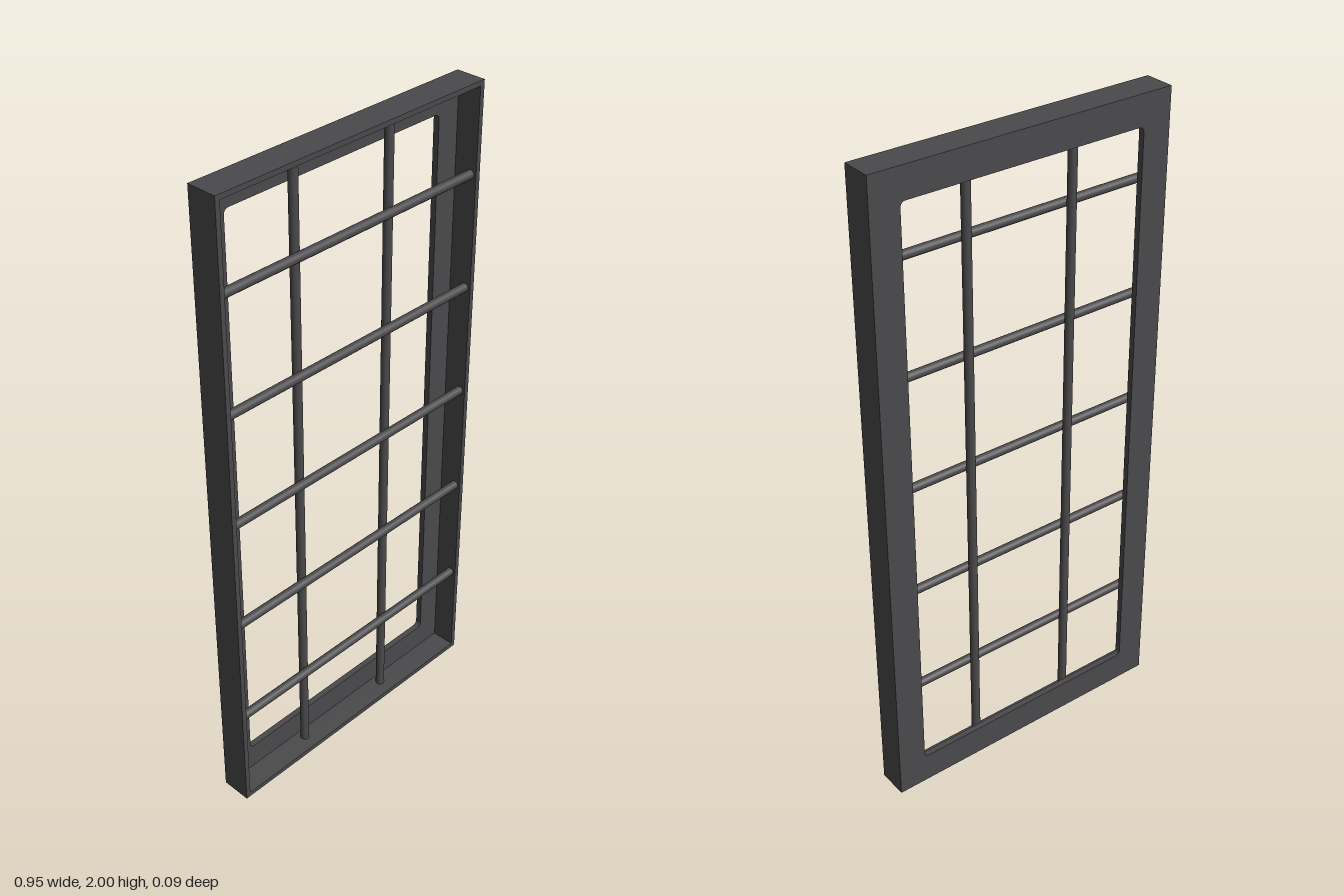
import * as THREE from 'three';

const W = 0.95, H = 2, D = 0.094; // overall size
const WALL = 0.015, PLATE = 0.019; // rim and back plate thickness

// Rectangle outline with optional rounded corners
function rect(path, x0, y0, x1, y1, r = 0) {
  if (r === 0) {
    path.moveTo(x0, y0).lineTo(x1, y0).lineTo(x1, y1).lineTo(x0, y1).closePath();
    return path;
  }
  path.moveTo(x0 + r, y0);
  path.absarc(x1 - r, y0 + r, r, -Math.PI / 2, 0);
  path.absarc(x1 - r, y1 - r, r, 0, Math.PI / 2);
  path.absarc(x0 + r, y1 - r, r, Math.PI / 2, Math.PI);
  path.absarc(x0 + r, y0 + r, r, Math.PI, Math.PI * 1.5);
  path.closePath();
  return path;
}

export function createModel() {
  const model = new THREE.Group();
  model.name = 'barredWindowFrame';
  const darkMetal = new THREE.MeshStandardMaterial({ color: 0x4a4a4c });
  darkMetal.name = 'darkMetal';

  function add(name, geometry, x = 0, y = 0, z = 0) {
    const mesh = new THREE.Mesh(geometry, darkMetal);
    mesh.name = name;
    mesh.position.set(x, y, z);
    model.add(mesh);
    return mesh;
  }

  // Frame layer: outer rectangle with a hole, extruded along z
  function layer(name, hole, depth, z) {
    const shape = rect(new THREE.Shape(), -W / 2, 0, W / 2, H);
    shape.holes.push(hole);
    const geometry = new THREE.ExtrudeGeometry(shape, { depth, bevelEnabled: false, curveSegments: 5 });
    add(name, geometry, 0, 0, z);
  }

  // Back plate with a rounded opening, and the thin rim standing forward of it
  layer('backPlate', rect(new THREE.Path(), -0.385, 0.095, 0.385, 1.908, 0.015), PLATE, -D / 2);
  layer('rim', rect(new THREE.Path(), -W / 2 + WALL, WALL, W / 2 - WALL, H - WALL), D - PLATE, -D / 2 + PLATE);

  // Round upright bars, behind the crossbars
  const upright = new THREE.CylinderGeometry(0.0135, 0.0135, H - WALL * 1.5, 20);
  for (const x of [-0.182, 0.161]) add('uprightBar', upright, x, H / 2, -0.001);

  // Round crossbars, resting on the front of the uprights
  const cross = new THREE.CylinderGeometry(0.0135, 0.0135, W - WALL * 1.5, 20);
  cross.rotateZ(Math.PI / 2);
  for (let i = 0; i < 5; i++) add('crossbar', cross, 0, 0.318 + i * 0.352, 0.026);

  return model;
}
